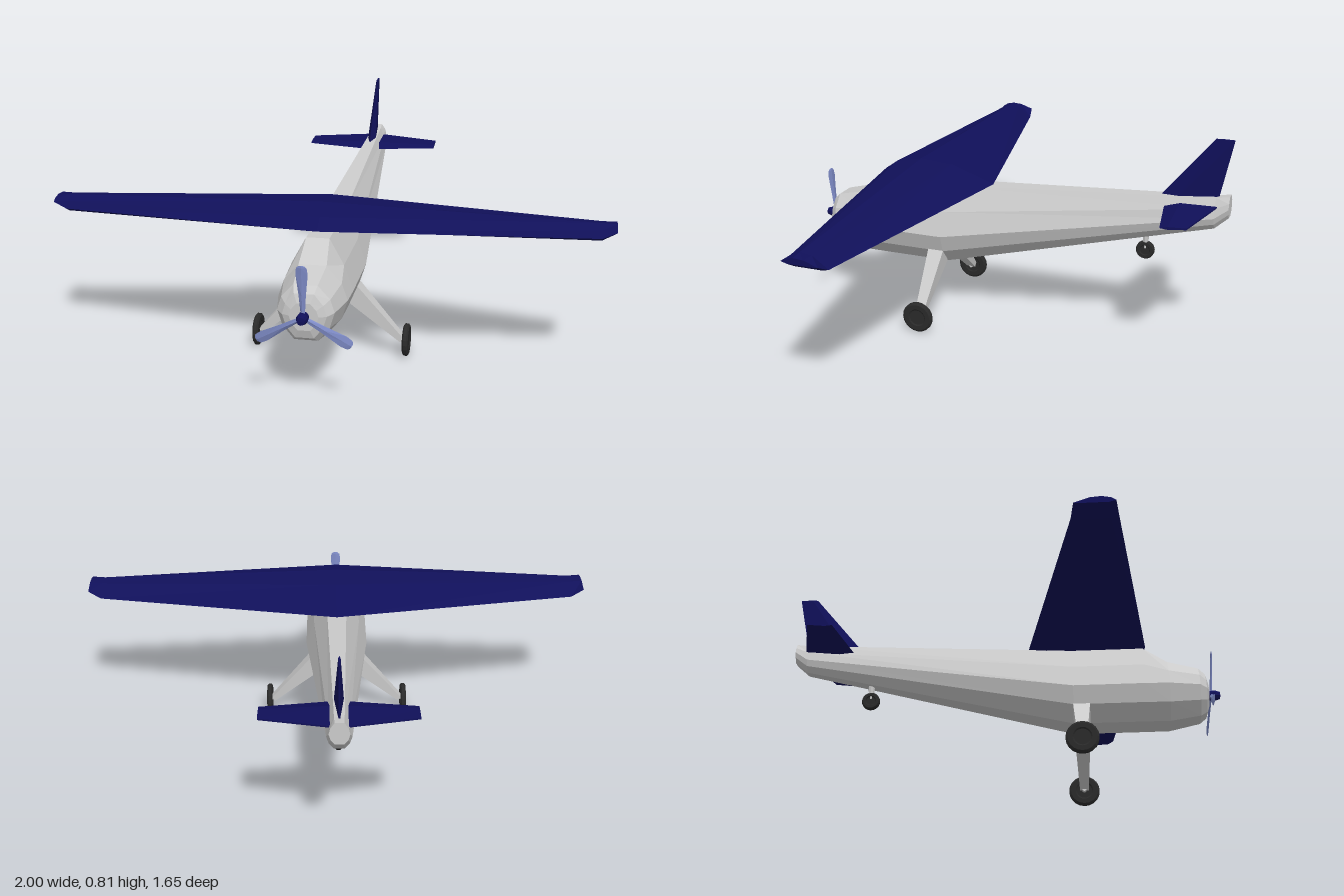
import * as THREE from 'three';

const paint = (color) => new THREE.MeshStandardMaterial({ color, flatShading: true });
const grey = paint(0xcccccc);
const navy = paint(0x10105a);
const blue = paint(0x7f8cc8);
const rubber = paint(0x2a2a2a);

function add(parent, name, geometry, material) {
  const mesh = new THREE.Mesh(geometry, material);
  mesh.name = name;
  parent.add(mesh);
  return mesh;
}

// Skin a series of closed rings of [x, y, z] points, with both ends capped
function loft(rings) {
  const n = rings[0].length;
  const last = rings.length - 1;
  const points = rings.flat().map((p) => new THREE.Vector3(...p));
  const centre = (ring) => ring
    .reduce((s, p) => s.add(new THREE.Vector3(...p)), new THREE.Vector3())
    .divideScalar(n);
  points.push(centre(rings[0]), centre(rings[last]));
  const faces = [];
  for (let j = 0; j < n; j++) {
    const k = (j + 1) % n;
    for (let i = 0; i < last; i++) {
      const a = i * n + j, b = i * n + k;
      faces.push([a, b, b + n], [a, b + n, a + n]);
    }
    faces.push([points.length - 2, k, j]);
    faces.push([points.length - 1, last * n + j, last * n + k]);
  }
  // A negative volume means the rings run the other way: turn the faces over
  let volume = 0;
  for (const [a, b, c] of faces) {
    volume += points[a].dot(points[b].clone().cross(points[c]));
  }
  const index = faces.flatMap(([a, b, c]) => (volume < 0 ? [a, c, b] : [a, b, c]));
  const geometry = new THREE.BufferGeometry().setFromPoints(points);
  geometry.setIndex(index);
  const flat = geometry.toNonIndexed();
  flat.computeVertexNormals();
  return flat;
}

// Fuselage ring: teardrop on the body, nearly round at the nose and tail
function bodyRing([z, top, belt, bottom, w, topWidth, shoulder]) {
  const up = top - belt, down = belt - bottom;
  const half = [
    [w * topWidth, top],
    [w * shoulder, belt + up * 0.5],
    [w, belt],
    [w * 0.82, belt - down * 0.54],
    [w * 0.42, bottom],
  ];
  const other = half.map(([x, y]) => [-x, y]).reverse();
  return [...half, ...other].map(([x, y]) => [x, y, z]);
}

// Flat-diamond outline for fins: chord from front to back, thickest at a third
function finSection(front, back, thickness, place) {
  const mid = front + (back - front) * 0.3;
  return [[front, 0], [mid, thickness], [back, 0.003], [back, -0.003], [mid, -thickness]]
    .map(([z, t]) => place(z, t));
}

function makeWheel(parent, name, radius, width, x, y, z) {
  const wheel = new THREE.Group();
  wheel.name = name;
  const w = width / 2;
  const profile = [
    [0, -w * 0.7], [radius * 0.5, -w * 0.7], [radius * 0.58, -w], [radius * 0.88, -w],
    [radius, -w * 0.5], [radius, w * 0.5], [radius * 0.88, w], [radius * 0.58, w],
    [radius * 0.5, w * 0.7], [0, w * 0.7],
  ].map(([r, h]) => new THREE.Vector2(r, h));
  const tyre = add(wheel, 'tyre', new THREE.LatheGeometry(profile, 20), rubber);
  tyre.rotation.z = Math.PI / 2;
  wheel.position.set(x, y, z);
  parent.add(wheel);
}

export function createModel() {
  const plane = new THREE.Group();
  plane.name = 'airplane';

  // Fuselage stations: z, top, belt, bottom, half width, top width, shoulder
  const stations = [
    [0.78, 0.375, 0.33, 0.28, 0.05, 0.45, 0.85],
    [0.77, 0.405, 0.33, 0.25, 0.075, 0.45, 0.85],
    [0.745, 0.427, 0.335, 0.232, 0.097, 0.42, 0.85],
    [0.63, 0.455, 0.335, 0.21, 0.12, 0.4, 0.83],
    [0.54, 0.52, 0.335, 0.21, 0.123, 0.33, 0.74],
    [0.27, 0.52, 0.335, 0.21, 0.123, 0.33, 0.74],
    [-0.77, 0.592, 0.52, 0.475, 0.043, 0.4, 0.8],
    [-0.82, 0.6, 0.558, 0.52, 0.035, 0.45, 0.85],
  ];
  add(plane, 'fuselage', loft(stations.map(bodyRing)), grey);

  // Tapered wing with an upswept underside at each tip
  const airfoil = [[0, 0.27], [0.11, 0.72], [0.34, 1], [0.62, 0.87], [1, 0.1], [0.85, 0], [0.17, 0]];
  const wingRing = (x, front, back, bottom, top) =>
    airfoil.map(([c, h]) => [x, bottom + (top - bottom) * h, front + (back - front) * c]);
  add(plane, 'wing', loft([
    wingRing(-1, 0.43, 0.295, 0.554, 0.577),
    wingRing(-0.95, 0.438, 0.285, 0.525, 0.579),
    wingRing(0, 0.553, 0.095, 0.525, 0.605),
    wingRing(0.95, 0.438, 0.285, 0.525, 0.579),
    wingRing(1, 0.43, 0.295, 0.554, 0.577),
  ]), navy);

  // Tail surfaces
  add(plane, 'tailFin', loft([
    finSection(-0.565, -0.775, 0.017, (z, t) => [t, 0.575, z]),
    finSection(-0.755, -0.822, 0.004, (z, t) => [t, 0.807, z]),
  ]), navy);
  const stabilizerRing = (x, front, back, thickness) =>
    finSection(front, back, thickness, (z, t) => [x, 0.553 + t - (z + 0.68) * 0.08, z]);
  add(plane, 'stabilizer', loft([
    stabilizerRing(-0.268, -0.625, -0.72, 0.005),
    stabilizerRing(-0.03, -0.585, -0.778, 0.011),
    stabilizerRing(0.03, -0.585, -0.778, 0.011),
    stabilizerRing(0.268, -0.625, -0.72, 0.005),
  ]), navy);

  // Main landing gear, one leg and wheel on each side
  const legRing = (x, y, hx, hz) => [
    [x - hx, y - hx, 0.3 - hz], [x + hx, y + hx, 0.3 - hz],
    [x + hx, y + hx, 0.3 + hz], [x - hx, y - hx, 0.3 + hz],
  ];
  for (const [side, s] of [['left', 1], ['right', -1]]) {
    const leg = [legRing(0.07, 0.25, 0.026, 0.032), legRing(0.265, 0.062, 0.007, 0.017)]
      .map((ring) => ring.map(([x, y, z]) => [s * x, y, z]));
    add(plane, side + 'GearLeg', loft(leg), grey);
    const axle = add(plane, side + 'Axle', new THREE.CylinderGeometry(0.009, 0.009, 0.03, 8), grey);
    axle.rotation.z = Math.PI / 2;
    axle.position.set(s * 0.268, 0.06, 0.3);
    makeWheel(plane, side + 'Wheel', 0.06, 0.022, s * 0.28, 0.06, 0.3);
  }

  // Tail wheel and strut
  const strut = add(plane, 'tailWheelStrut', new THREE.CylinderGeometry(0.014, 0.009, 0.075, 8), grey);
  strut.position.set(0, 0.395, -0.515);
  makeWheel(plane, 'tailWheel', 0.035, 0.022, 0, 0.35, -0.515);

  // Propeller: hub and three twisted paddle blades, tilted slightly
  const propeller = new THREE.Group();
  propeller.name = 'propeller';
  propeller.position.set(0, 0.33, 0.79);
  const hubProfile = [[0, -0.02], [0.018, -0.02], [0.02, 0.015], [0.014, 0.034], [0, 0.036]]
    .map(([r, h]) => new THREE.Vector2(r, h));
  const hub = add(propeller, 'hub', new THREE.LatheGeometry(hubProfile, 10), navy);
  hub.rotation.x = Math.PI / 2;
  const bladeRing = ([y, w, t, twist]) =>
    [[-w, 0], [0, -t], [w, 0], [0, t]].map(([a, b]) => [
      a * Math.cos(twist) - b * Math.sin(twist), y,
      a * Math.sin(twist) + b * Math.cos(twist),
    ]);
  const blade = loft([
    [0.01, 0.008, 0.005, 0.3], [0.08, 0.013, 0.004, 0.2],
    [0.155, 0.021, 0.003, 0.12], [0.178, 0.018, 0.003, 0.1], [0.185, 0.009, 0.002, 0.1],
  ].map(bladeRing));
  const blades = new THREE.Group();
  blades.name = 'blades';
  blades.rotation.x = 0.08;
  for (let i = 0; i < 3; i++) {
    add(blades, 'blade', blade, blue).rotation.z = (i * Math.PI * 2) / 3;
  }
  propeller.add(blades);
  plane.add(propeller);

  return plane;
}
